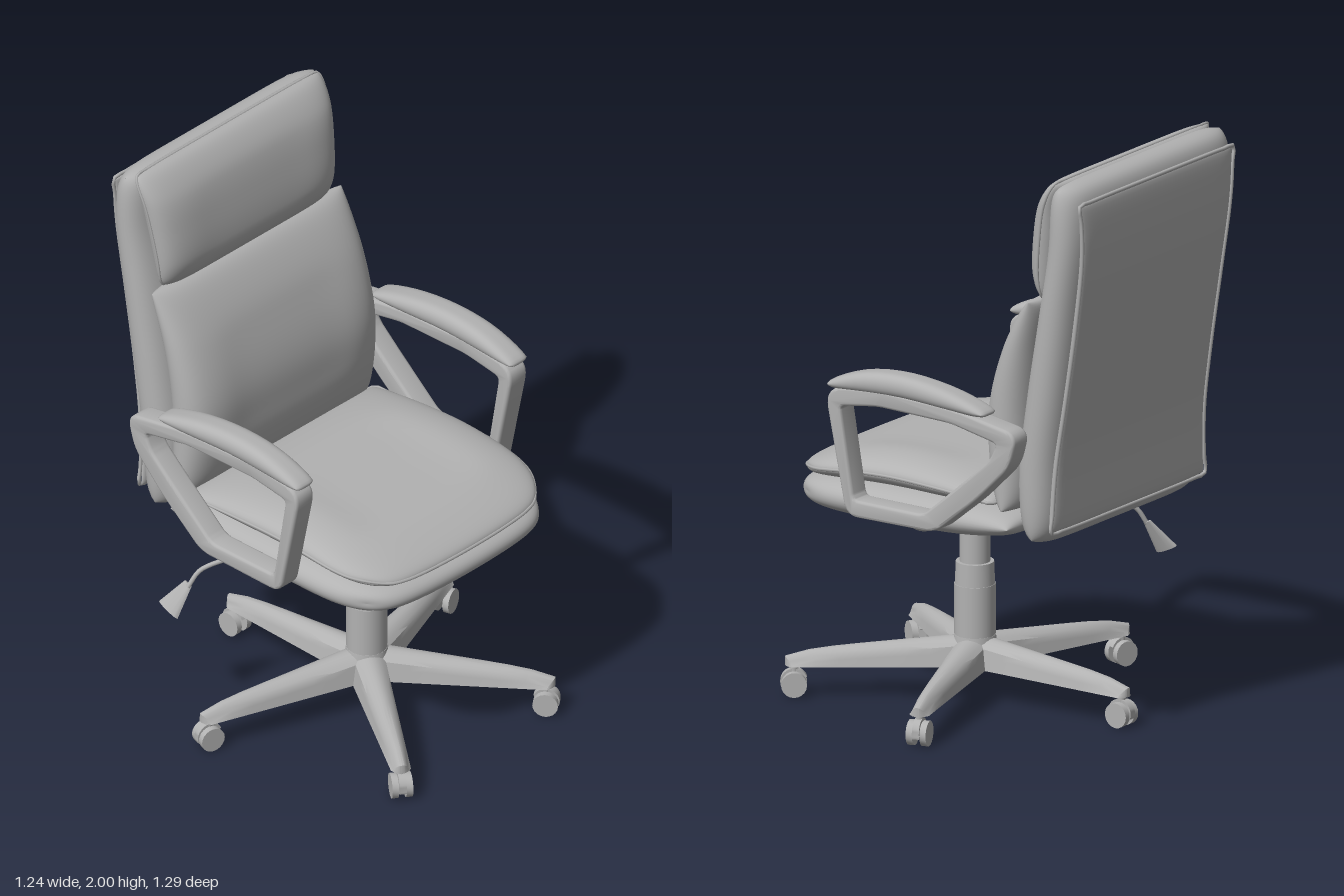
import * as THREE from 'three';
import { mergeVertices, mergeGeometries, toCreasedNormals } from 'three/addons/utils/BufferGeometryUtils.js';

const grey = new THREE.MeshStandardMaterial({ color: 0xb2b2b2 });
grey.name = 'grey';

function add(parent, name, geometry, x = 0, y = 0, z = 0) {
  const mesh = new THREE.Mesh(geometry, grey);
  mesh.name = name;
  mesh.position.set(x, y, z);
  parent.add(mesh);
  return mesh;
}

// Side profile curve from [z, y] pairs
const side = (pts) => new THREE.SplineCurve(pts.map(([z, y]) => new THREE.Vector2(z, y)));

// Padded volume between two side profiles; returns a function of u (across), v (along), h (depth)
function padding({ outer, inner, width, pull = (u) => 1 - 0.05 * u ** 8 }) {
  const a = side(outer), b = side(inner);
  return (u, v, h) => {
    const t = THREE.MathUtils.clamp((v * pull(u, v) + 1) / 2, 0, 1);
    const p = b.getPoint(t).lerp(a.getPoint(t), (h + 1) / 2);
    return new THREE.Vector3(u * width(v), p.y, p.x);
  };
}

// Closed cushion: two domed sheets meeting at a rounded rim
function cushion(place, { power = 8, dent = 0, n = 40 } = {}) {
  const sheets = [1, -1].map((s) => {
    const g = new THREE.PlaneGeometry(2, 2, n, n);
    const p = g.attributes.position;
    for (let i = 0; i < p.count; i++) {
      const u = s * Math.sin(p.getX(i) * Math.PI / 2), v = Math.sin(p.getY(i) * Math.PI / 2);
      let h = s * Math.sqrt(Math.max(0, (1 - Math.abs(u) ** power) * (1 - Math.abs(v) ** power)));
      if (s > 0) h *= 1 - dent * Math.exp(-((u / 0.6) ** 6) - (v / 0.55) ** 6);
      const q = place(u, v, h);
      p.setXYZ(i, q.x, q.y, q.z);
    }
    g.deleteAttribute('uv');
    g.deleteAttribute('normal');
    return g;
  });
  const g = mergeVertices(mergeGeometries(sheets), 1e-4);
  g.computeVertexNormals();
  return g;
}

// Piping that follows the rim of a padding
function piping(place, radius) {
  const pts = [], n = 14;
  const corners = [[-1, -1], [1, -1], [1, 1], [-1, 1]];
  corners.forEach(([u, v], i) => {
    const [u2, v2] = corners[(i + 1) % 4];
    for (let k = 0; k < n; k++) pts.push(place(u + (u2 - u) * k / n, v + (v2 - v) * k / n, 0));
  });
  return new THREE.TubeGeometry(new THREE.CatmullRomCurve3(pts, true), 160, radius, 6, true);
}

// Polygon with rounded corners
function rounded(path, pts, r) {
  const P = pts.map(([x, y]) => new THREE.Vector2(x, y));
  P.forEach((c, i) => {
    const toward = (o) => c.clone().add(o.clone().sub(c).setLength(Math.min(r, o.distanceTo(c) * 0.45)));
    const a = toward(P[(i + P.length - 1) % P.length]), b = toward(P[(i + 1) % P.length]);
    i ? path.lineTo(a.x, a.y) : path.moveTo(a.x, a.y);
    path.quadraticCurveTo(c.x, c.y, b.x, b.y);
  });
  path.closePath();
  return path;
}

function buildSeat(chair) {
  const pull = (u, v) => (v < 0 ? 1 - 0.1 * u * u - 0.13 * u ** 8 : 1 - 0.03 * u ** 8);
  const base = padding({
    outer: [[0.58, 0.785], [0.34, 0.815], [0.1, 0.82], [-0.14, 0.82], [-0.37, 0.81]],
    inner: [[0.585, 0.69], [0.34, 0.68], [0.1, 0.68], [-0.14, 0.69], [-0.37, 0.72]],
    width: (v) => (v < 0 ? 0.472 - 0.06 * v ** 6 : 0.472 - 0.012 * v * v), pull,
  });
  add(chair, 'seatBase', cushion(base));
  const top = padding({
    outer: [[0.57, 0.845], [0.355, 0.905], [0.145, 0.932], [-0.07, 0.922], [-0.3, 0.89]],
    inner: [[0.57, 0.765], [0.355, 0.79], [0.145, 0.8], [-0.07, 0.8], [-0.3, 0.8]],
    width: (v) => (v < 0 ? 0.462 - 0.06 * v ** 6 : 0.462 - 0.008 * v * v), pull,
  });
  add(chair, 'seatCushion', cushion(top, { power: 5, dent: 0.22 }));
  add(chair, 'seatPiping', piping(top, 0.006));
}

function buildBack(chair) {
  const shell = padding({
    outer: [[-0.37, 0.72], [-0.37, 0.98], [-0.405, 1.24], [-0.455, 1.52], [-0.5, 1.78], [-0.5, 1.995]],
    inner: [[-0.53, 0.72], [-0.535, 0.98], [-0.57, 1.24], [-0.61, 1.52], [-0.645, 1.78], [-0.645, 1.985]],
    width: (v) => 0.468 + 0.007 * v - 0.02 * Math.abs(v) ** 10,
  });
  add(chair, 'backShell', cushion(shell, { power: 10 }));

  const lumbar = padding({
    outer: [[-0.265, 0.82], [-0.235, 1.03], [-0.24, 1.2], [-0.3, 1.39], [-0.4, 1.575]],
    inner: [[-0.41, 0.82], [-0.41, 1.03], [-0.42, 1.2], [-0.45, 1.39], [-0.5, 1.575]],
    width: () => 0.458, pull: (u) => 1 - 0.02 * u ** 8,
  });
  add(chair, 'lumbarCushion', cushion(lumbar, { dent: 0.1 }));

  const head = padding({
    outer: [[-0.42, 1.565], [-0.395, 1.66], [-0.405, 1.78], [-0.435, 1.9], [-0.5, 2.0]],
    inner: [[-0.5, 1.565], [-0.52, 1.66], [-0.54, 1.78], [-0.56, 1.9], [-0.58, 1.99]],
    width: (v) => 0.43 + 0.025 * v - 0.02 * v ** 8,
  });
  add(chair, 'headCushion', cushion(head, { dent: 0.06 }));
  add(chair, 'headPiping', piping(head, 0.005));

  const panel = padding({
    outer: [[-0.5, 0.77], [-0.51, 1.0], [-0.545, 1.24], [-0.585, 1.5], [-0.62, 1.75], [-0.625, 1.935]],
    inner: [[-0.535, 0.77], [-0.543, 1.0], [-0.577, 1.24], [-0.618, 1.5], [-0.65, 1.75], [-0.65, 1.935]],
    width: (v) => 0.41 + 0.025 * v * v, pull: (u) => 1 - 0.02 * u ** 8,
  });
  add(chair, 'backPanel', cushion(panel, { power: 16, n: 30 }));
  add(chair, 'backPiping', piping((u, v) => panel(u, v, -0.5), 0.007));
}

function buildArms(chair) {
  const frame = rounded(new THREE.Shape(), [[0.3, 1.13], [0.27, 1.165], [0.1, 1.185], [-0.2, 1.175], [-0.46, 1.13],
    [-0.43, 1.02], [-0.3, 0.89], [-0.13, 0.75], [0.22, 0.745]], 0.04);
  frame.holes.push(rounded(new THREE.Path(), [[0.262, 1.12], [0.1, 1.145], [-0.2, 1.14], [-0.4, 1.1],
    [-0.37, 1.03], [-0.27, 0.94], [-0.09, 0.785], [0.205, 0.785]], 0.03));
  const bar = new THREE.ExtrudeGeometry(frame, {
    depth: 0.06, bevelSize: 0.01, bevelThickness: 0.012, bevelSegments: 3, curveSegments: 6,
  });
  bar.translate(0, 0, -0.03).rotateY(-Math.PI / 2);
  const barGeometry = toCreasedNormals(bar, 0.7);
  const pad = cushion(padding({
    outer: [[0.31, 1.205], [0.16, 1.245], [0, 1.257], [-0.17, 1.24], [-0.335, 1.205]],
    inner: [[0.31, 1.15], [0.16, 1.17], [0, 1.178], [-0.17, 1.17], [-0.335, 1.155]],
    width: (v) => 0.053 - 0.012 * v ** 4, pull: (u) => 1 - 0.05 * u ** 4,
  }), { power: 3.5, n: 20 });
  for (const s of [1, -1]) {
    add(chair, s > 0 ? 'leftArmFrame' : 'rightArmFrame', barGeometry, s * 0.516);
    add(chair, s > 0 ? 'leftArmPad' : 'rightArmPad', pad, s * 0.517);
  }
}

function buildMechanism(chair) {
  // Tapered plate under the seat
  const plate = new THREE.BoxGeometry(1, 1, 1);
  const p = plate.attributes.position;
  for (let i = 0; i < p.count; i++) {
    const up = p.getY(i) > 0;
    p.setXYZ(i, p.getX(i) * (up ? 0.38 : 0.3), up ? 0.71 : 0.652, 0.02 + p.getZ(i) * (up ? 0.52 : 0.31));
  }
  plate.computeVertexNormals();
  add(chair, 'seatPlate', plate);

  // Ribbed tension knob
  const profile = [[0, 0], [0.036, 0], [0.047, 0.012], [0.047, 0.07]];
  for (let i = 0; i < 4; i++) profile.push([0.04, 0.075 + i * 0.018], [0.05, 0.081 + i * 0.018], [0.05, 0.088 + i * 0.018]);
  profile.push([0, 0.15]);
  const knob = new THREE.LatheGeometry(profile.map(([r, y]) => new THREE.Vector2(r, y)), 20);
  add(chair, 'tensionKnob', toCreasedNormals(knob, 0.6), 0, 0.545, 0.325).rotation.x = -0.28;

  // Height lever with flat paddle
  const path = new THREE.CatmullRomCurve3([[-0.1, 0.69, -0.02], [-0.28, 0.645, -0.1], [-0.45, 0.605, -0.2],
    [-0.475, 0.585, -0.22], [-0.505, 0.53, -0.24]].map((q) => new THREE.Vector3(...q)));
  add(chair, 'leverRod', new THREE.TubeGeometry(path, 30, 0.008, 8));
  const paddle = new THREE.CylinderGeometry(0.016, 0.045, 0.12, 16).scale(0.28, 1, 1);
  const grip = add(chair, 'leverPaddle', toCreasedNormals(paddle, 0.7), -0.525, 0.49, -0.265);
  grip.rotation.set(0.4, 0, -0.45);
}

function buildBase(chair) {
  const base = new THREE.Group();
  base.name = 'base';
  base.position.z = 0.1;
  chair.add(base);
  add(base, 'hub', new THREE.CylinderGeometry(0.07, 0.085, 0.11, 24), 0, 0.16);
  add(base, 'lowerColumn', new THREE.CylinderGeometry(0.069, 0.069, 0.19, 32), 0, 0.295);
  add(base, 'columnCollar', new THREE.CylinderGeometry(0.064, 0.067, 0.08, 32), 0, 0.427);
  add(base, 'upperColumn', new THREE.CylinderGeometry(0.051, 0.051, 0.25, 32), 0, 0.56);

  // Tapered leg with a crowned top and rounded tip
  const box = new THREE.BoxGeometry(2, 1, 1, 8, 3, 8);
  const p = box.attributes.position;
  for (let i = 0; i < p.count; i++) {
    const a = p.getX(i), b = p.getY(i) + 0.5, t = p.getZ(i) + 0.5;
    const lo = 0.115 - 0.01 * t, hi = 0.215 - 0.058 * t - 0.025 * a * a - 0.02 * t ** 10;
    p.setXYZ(i, a * (0.068 - 0.034 * t) * (1 - 0.2 * b), lo + (hi - lo) * b, t * (0.63 - 0.025 * a * a));
  }
  const leg = toCreasedNormals(box, 0.6);
  const wheel = toCreasedNormals(new THREE.CylinderGeometry(0.043, 0.043, 0.022, 20).rotateZ(Math.PI / 2), 0.6);
  const hood = toCreasedNormals(
    new THREE.CylinderGeometry(0.046, 0.046, 0.07, 16, 1, false, -0.4, Math.PI).rotateZ(Math.PI / 2).scale(0.35, 1, 1), 0.6);
  const stem = new THREE.CylinderGeometry(0.014, 0.014, 0.06, 12);

  for (let i = 0; i < 5; i++) {
    const spoke = new THREE.Group();
    spoke.name = 'spoke' + (i + 1);
    spoke.rotation.y = Math.PI + i * Math.PI * 0.4;
    base.add(spoke);
    add(spoke, 'leg', leg);
    add(spoke, 'casterStem', stem, 0, 0.085, 0.6);
    add(spoke, 'casterHood', hood, 0, 0.049, 0.6);
    for (const s of [1, -1]) add(spoke, 'casterWheel', wheel, s * 0.024, 0.043, 0.6);
  }
}

export function createModel() {
  const chair = new THREE.Group();
  chair.name = 'officeChair';
  buildSeat(chair);
  buildBack(chair);
  buildArms(chair);
  buildMechanism(chair);
  buildBase(chair);
  return chair;
}
